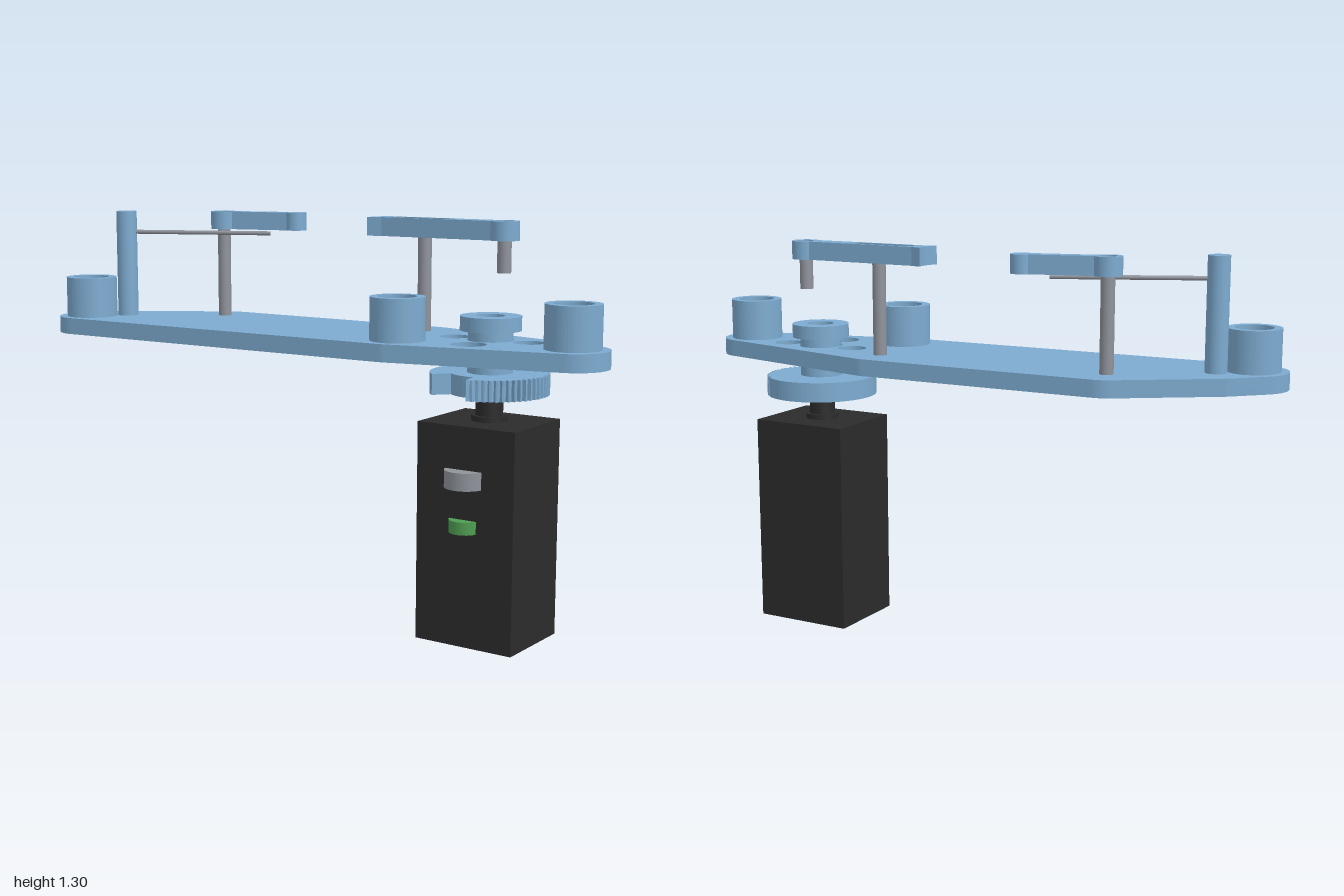
import * as THREE from 'three';

const mat = (name, color) => {
  const m = new THREE.MeshStandardMaterial({ color });
  m.name = name;
  return m;
};

export function createModel() {
  const model = new THREE.Group();
  const blue = mat('blue plastic', 0x7dabd0);
  const steel = mat('grey steel', 0x8f939b);
  const black = mat('black housing', 0x2b2b2b);
  const green = mat('green button', 0x4f9d52);

  const add = (name, geo, material, parent = model) => {
    const mesh = new THREE.Mesh(geo, material);
    mesh.name = name;
    parent.add(mesh);
    return mesh;
  };
  // Shapes are drawn in plan (x, z) and raised from y0 to y1
  const slab = (name, shape, y0, y1, material = blue, parent = model) => {
    const geo = new THREE.ExtrudeGeometry(shape, { depth: y1 - y0, bevelEnabled: false, curveSegments: 28 });
    geo.rotateX(Math.PI / 2).translate(0, y1, 0);
    return add(name, geo, material, parent);
  };
  const circle = (x, z, r, P = THREE.Path) => new P().absarc(x, z, r, 0, Math.PI * 2, false);
  const ring = (x, z, r, hole) => {
    const s = circle(x, z, r, THREE.Shape);
    if (hole) s.holes.push(circle(x, z, hole));
    return s;
  };
  const rod = (name, x, z, r, y0, y1, material = steel, parent = model) => {
    const geo = new THREE.CylinderGeometry(r, r, y1 - y0, 24);
    return add(name, geo.translate(x, (y0 + y1) / 2, z), material, parent);
  };

  // Base plate: rounded outline offset around six mounting points
  const pts = [[-0.785, -0.055], [-0.475, -0.192], [0.322, -0.07], [0.885, 0.16], [0.337, 0.187], [-0.888, 0.015]];
  const hub = [0.593, 0.057];
  const plate = new THREE.Shape();
  const n = pts.length;
  const normal = (a, b) => Math.atan2(b[1] - a[1], b[0] - a[0]) - Math.PI / 2;
  pts.forEach((p, i) => {
    plate.absarc(p[0], p[1], 0.112, normal(pts[(i + n - 1) % n], p), normal(p, pts[(i + 1) % n]), false);
  });
  plate.closePath();
  const screwHoles = [[0.465, 0.027], [0.722, 0.075]];
  screwHoles.forEach(([x, z]) => plate.holes.push(circle(x, z, 0.047)));
  plate.holes.push(circle(0.57, 0.19, 0.055), circle(...hub, 0.072));
  slab('basePlate', plate, 0.89, 0.945);
  screwHoles.forEach(([x, z]) => slab('screwSeat', ring(x, z, 0.047, 0.027), 0.89, 0.915));

  // Hollow cups
  [pts[5], pts[4], pts[3]].forEach(([x, z]) => slab('cup', ring(x, z, 0.086, 0.06), 0.945, 1.08));

  // Tall post with its thin wire, and the two pivot pins
  rod('tallPost', ...pts[0], 0.035, 0.94, 1.305, blue);
  const wire = new THREE.LineCurve3(new THREE.Vector3(-0.785, 1.234, -0.055), new THREE.Vector3(-0.288, 1.234, -0.18));
  add('springWire', new THREE.TubeGeometry(wire, 1, 0.007, 8), steel);
  rod('pivotPin', ...pts[1], 0.022, 0.883, 1.29);
  rod('pivotPin', ...pts[2], 0.022, 0.883, 1.29);

  // Short lever: ring head, slim neck and round tip
  const shortLever = new THREE.Group();
  shortLever.name = 'shortLever';
  shortLever.position.set(pts[1][0], 0, pts[1][1]);
  shortLever.rotation.y = 0.078;
  model.add(shortLever);
  const dog = new THREE.Shape();
  dog.absarc(0, 0, 0.045, 0.51, Math.PI * 2 - 0.51, false);
  dog.absarc(0.268, 0, 0.035, -(Math.PI - 0.75), Math.PI - 0.75, false);
  dog.closePath();
  dog.holes.push(circle(0, 0, 0.027));
  slab('leverArm', dog, 1.245, 1.305, blue, shortLever);

  // Long lever: ring head, slotted arm and forked tip
  const longLever = new THREE.Group();
  longLever.name = 'longLever';
  longLever.position.set(0.608, 0, -0.013);
  longLever.rotation.y = Math.PI - 0.169;
  model.add(longLever);
  const arm = new THREE.Shape();
  arm.absarc(0, 0, 0.046, 0.75, Math.PI * 2 - 0.75, false);
  arm.lineTo(0.43, -0.034);
  arm.lineTo(0.477, -0.046);
  arm.quadraticCurveTo(0.455, 0, 0.467, 0.046);
  arm.lineTo(0.43, 0.034);
  arm.closePath();
  const slot = new THREE.Path();
  slot.absarc(0.206, 0, 0.024, Math.PI / 2, Math.PI * 1.5, false);
  slot.absarc(0.392, 0, 0.024, -Math.PI / 2, Math.PI / 2, false);
  slot.closePath();
  arm.holes.push(circle(0, 0, 0.027), slot);
  slab('leverArm', arm, 1.245, 1.305, blue, longLever);
  rod('leverPeg', 0, 0, 0.022, 1.145, 1.29, steel, longLever);

  // Hub running through the plate
  slab('hubNeck', ring(...hub, 0.07, 0.044), 0.845, 0.975);
  slab('hubFlange', ring(...hub, 0.095, 0.044), 0.975, 1.02);

  // Drive wheel: toothed on one side, notched at the front
  const wheel = new THREE.Shape();
  const deg = Math.PI / 180;
  const polar = (r, a) => [hub[0] + r * Math.cos(a * deg), hub[1] + r * Math.sin(a * deg)];
  wheel.moveTo(...polar(0.185, -45));
  for (let a = -45; a < 92; a += 6) {
    wheel.lineTo(...polar(0.185, a + 2));
    wheel.lineTo(...polar(0.174, a + 3.5));
    wheel.lineTo(...polar(0.185, a + 6));
  }
  for (let a = 94; a <= 142; a += 6) wheel.lineTo(...polar(0.125, a));
  for (let a = 142; a < 315; a += 5) wheel.lineTo(...polar(0.186, a));
  wheel.closePath();
  wheel.holes.push(circle(...hub, 0.044));
  slab('driveWheel', wheel, 0.78, 0.845);

  // Motor with output shaft
  const motor = add('motorHousing', new THREE.BoxGeometry(0.34, 0.695, 0.289), black);
  motor.position.set(hub[0], 0.3475, hub[1]);
  motor.rotation.y = -10 * deg;
  rod('shaftCollar', ...hub, 0.056, 0.69, 0.712, black);
  rod('motorShaft', ...hub, 0.043, 0.7, 0.93, black);

  // Round front controls, half sunk in the housing
  rod('frontDial', 0.565, 0.184, 0.066, 0.505, 0.56, steel);
  rod('frontButton', 0.565, 0.187, 0.049, 0.365, 0.405, green);

  return model;
}
